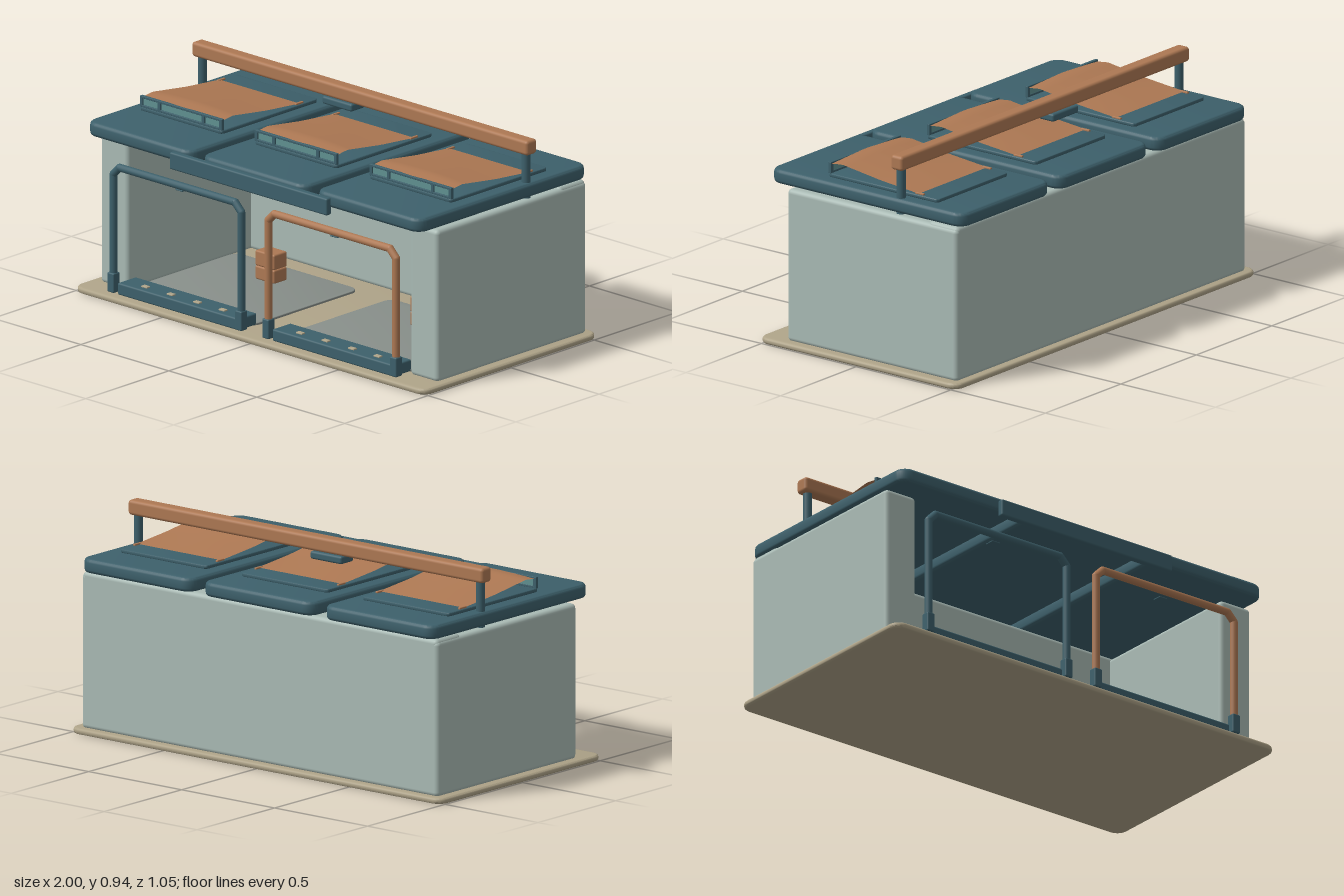
import * as THREE from 'three';
import { RoundedBoxGeometry } from 'three/addons/geometries/RoundedBoxGeometry.js';
import { toCreasedNormals } from 'three/addons/utils/BufferGeometryUtils.js';

function material(name, color, side = THREE.FrontSide) {
  const m = new THREE.MeshStandardMaterial({ color, side });
  m.name = name;
  return m;
}

export function createModel() {
  const teal = material('dark teal', 0x3d606b);
  const copper = material('copper', 0xad7853);
  const copperSheet = material('copper sheet', 0xad7853, THREE.DoubleSide);
  const wallGrey = material('pale grey green', 0xa9bab4);
  const sand = material('sand', 0xaea388);
  const matGrey = material('floor grey', 0x878e89);
  const glass = material('glass teal', 0x5f9090);

  const model = new THREE.Group();
  model.name = 'shelter';

  function add(parent, name, geometry, mat, x = 0, y = 0, z = 0) {
    const mesh = new THREE.Mesh(geometry, mat);
    mesh.name = name;
    mesh.position.set(x, y, z);
    parent.add(mesh);
    return mesh;
  }

  // Rounded box given by its extents
  function block(parent, name, mat, [x0, x1], [y0, y1], [z0, z1], r = 0.01) {
    const g = new RoundedBoxGeometry(x1 - x0, y1 - y0, z1 - z0, 3, r);
    return add(parent, name, g, mat, (x0 + x1) / 2, (y0 + y1) / 2, (z0 + z1) / 2);
  }

  // Flat slab with round corners in plan and softened edges, standing on y = 0
  function slab(w, h, d, r, bevel) {
    const a = w / 2 - bevel, b = d / 2 - bevel;
    const s = new THREE.Shape();
    s.moveTo(-a + r, -b);
    s.lineTo(a - r, -b);
    s.absarc(a - r, -b + r, r, -Math.PI / 2, 0);
    s.absarc(a - r, b - r, r, 0, Math.PI / 2);
    s.absarc(-a + r, b - r, r, Math.PI / 2, Math.PI);
    s.absarc(-a + r, -b + r, r, Math.PI, Math.PI * 1.5);
    const g = new THREE.ExtrudeGeometry(s, {
      depth: h - 2 * bevel, bevelSize: bevel, bevelThickness: bevel, bevelSegments: 3, curveSegments: 6,
    });
    g.translate(0, 0, bevel).rotateX(-Math.PI / 2);
    return toCreasedNormals(g, 0.7);
  }

  // Round rod through a list of points, with ball joints
  function rod(parent, name, mat, points, radius) {
    const group = new THREE.Group();
    group.name = name;
    parent.add(group);
    points.forEach((p, i) => {
      if (i === 0) return;
      const a = points[i - 1], dir = p.clone().sub(a);
      const mesh = add(group, name + 'Segment', new THREE.CylinderGeometry(radius, radius, dir.length(), 14), mat);
      mesh.position.copy(a).addScaledVector(dir, 0.5);
      mesh.quaternion.setFromUnitVectors(new THREE.Vector3(0, 1, 0), dir.normalize());
      if (i < points.length - 1) {
        add(group, name + 'Joint', new THREE.SphereGeometry(radius, 14, 10), mat, p.x, p.y, p.z);
      }
    });
  }

  // Base plate and the three walls
  add(model, 'basePlate', slab(2, 0.026, 1.05, 0.04, 0.01), sand, 0, 0, -0.005);
  for (const s of [-1, 1]) {
    block(model, 'sideWall', wallGrey, s > 0 ? [0.8, 0.96] : [-0.96, -0.8], [0.02, 0.682], [-0.5, 0.4], 0.02);
  }
  block(model, 'backWall', wallGrey, [-0.955, 0.955], [0.02, 0.69], [-0.5, -0.34], 0.02);

  // Two bays, each with a floor mat, threshold, charger block and gate
  for (const s of [-1, 1]) {
    const bay = new THREE.Group();
    bay.name = s < 0 ? 'rightBay' : 'leftBay';
    bay.position.x = s * 0.44;
    model.add(bay);
    add(bay, 'floorMat', slab(0.7, 0.012, 0.64, 0.04, 0.003), matGrey, 0, 0.024, 0.08);
    block(bay, 'floorBlockLower', copper, [-0.055, 0.055], [0.036, 0.095], [-0.12, -0.04], 0.008);
    block(bay, 'floorBlockUpper', copper, [-0.055, 0.055], [0.095, 0.162], [-0.12, -0.04], 0.008);

    block(bay, 'threshold', teal, [-0.345, 0.345], [0.026, 0.078], [0.37, 0.48], 0.008);
    for (const x of [-0.22, -0.075, 0.075, 0.22]) {
      block(bay, 'stud', sand, [x - 0.017, x + 0.017], [0.074, 0.084], [0.43, 0.452], 0.003);
    }

    const h = 0.363, z = 0.483, top = 0.584, c = 0.035;
    const path = [[-h, 0.04], [-h, top - c], [-h + c, top], [h - c, top], [h, top - c], [h, 0.04]]
      .map(([x, y]) => new THREE.Vector3(x, y, z));
    rod(bay, 'gateFrame', s < 0 ? teal : copper, path, 0.0165);
    for (const e of [-1, 1]) {
      block(bay, 'gateFoot', teal, [e * h - 0.019, e * h + 0.019], [0.037, 0.122], [0.464, 0.503], 0.006);
    }
    block(bay, 'gateLatch', teal, [-0.02, 0.02], [0.555, 0.56], [0.43, 0.475], 0.002);
  }

  // Curved hatch sheet: rises to the front, then dips at the lip
  function hatchSheet() {
    const g = new THREE.PlaneGeometry(0.455, 0.47, 12, 20).rotateX(-Math.PI / 2);
    const p = g.attributes.position;
    for (let i = 0; i < p.count; i++) {
      const x = p.getX(i), z = p.getZ(i);
      const ridge = z > 0.17 ? 0.822 - (z - 0.17) * 0.15 : 0.768 + (z + 0.235) * 0.133;
      const droop = 0.009 * (x / 0.2275) ** 2 * Math.min(1, (z + 0.235) / 0.2);
      p.setY(i, ridge - droop);
    }
    g.computeVertexNormals();
    return g;
  }

  // Three roof panels with raised hatches and front windows
  for (const x of [-0.652, 0, 0.652]) {
    const roof = new THREE.Group();
    roof.name = 'roofPanelGroup';
    roof.position.x = x;
    model.add(roof);
    add(roof, 'roofPanel', slab(0.598, 0.06, 1.022, 0.04, 0.015), teal, 0, 0.69, -0.011);
    add(roof, 'hatchRim', slab(0.47, 0.016, 0.582, 0.015, 0.004), teal, 0, 0.749, -0.05);
    add(roof, 'hatchSheet', hatchSheet(), copperSheet);
    for (const s of [-1, 1]) {
      block(roof, 'hatchTab', copper, [s * 0.222 - 0.006, s * 0.222 + 0.006], [0.762, 0.772], [-0.26, -0.215], 0.003);
    }
    // Window pane, rails and mullions
    block(roof, 'windowPane', glass, [-0.225, 0.225], [0.764, 0.808], [0.226, 0.232], 0.002);
    for (const y of [0.769, 0.808]) {
      block(roof, 'windowRail', teal, [-0.23, 0.23], [y - 0.005, y + 0.005], [0.224, 0.239], 0.002);
    }
    for (const m of [-0.225, -0.125, 0.125, 0.225]) {
      block(roof, 'windowMullion', teal, [m - 0.008, m + 0.008], [0.764, 0.813], [0.224, 0.239], 0.002);
    }
  }

  // Front lip below the roof edge
  block(model, 'frontLip', teal, [-0.448, 0.448], [0.661, 0.735], [0.495, 0.525], 0.008);

  // Carry rail on two posts, with a grip plate below it
  block(model, 'carryRail', copper, [-0.955, 0.955], [0.874, 0.938], [-0.206, -0.144], 0.014);
  for (const s of [-1, 1]) {
    add(model, 'railPost', new THREE.CylinderGeometry(0.019, 0.019, 0.21, 16), teal, s * 0.92, 0.782, -0.175);
  }
  block(model, 'gripPlate', teal, [-0.205, -0.035], [0.842, 0.876], [-0.217, -0.135], 0.01);

  return model;
}
